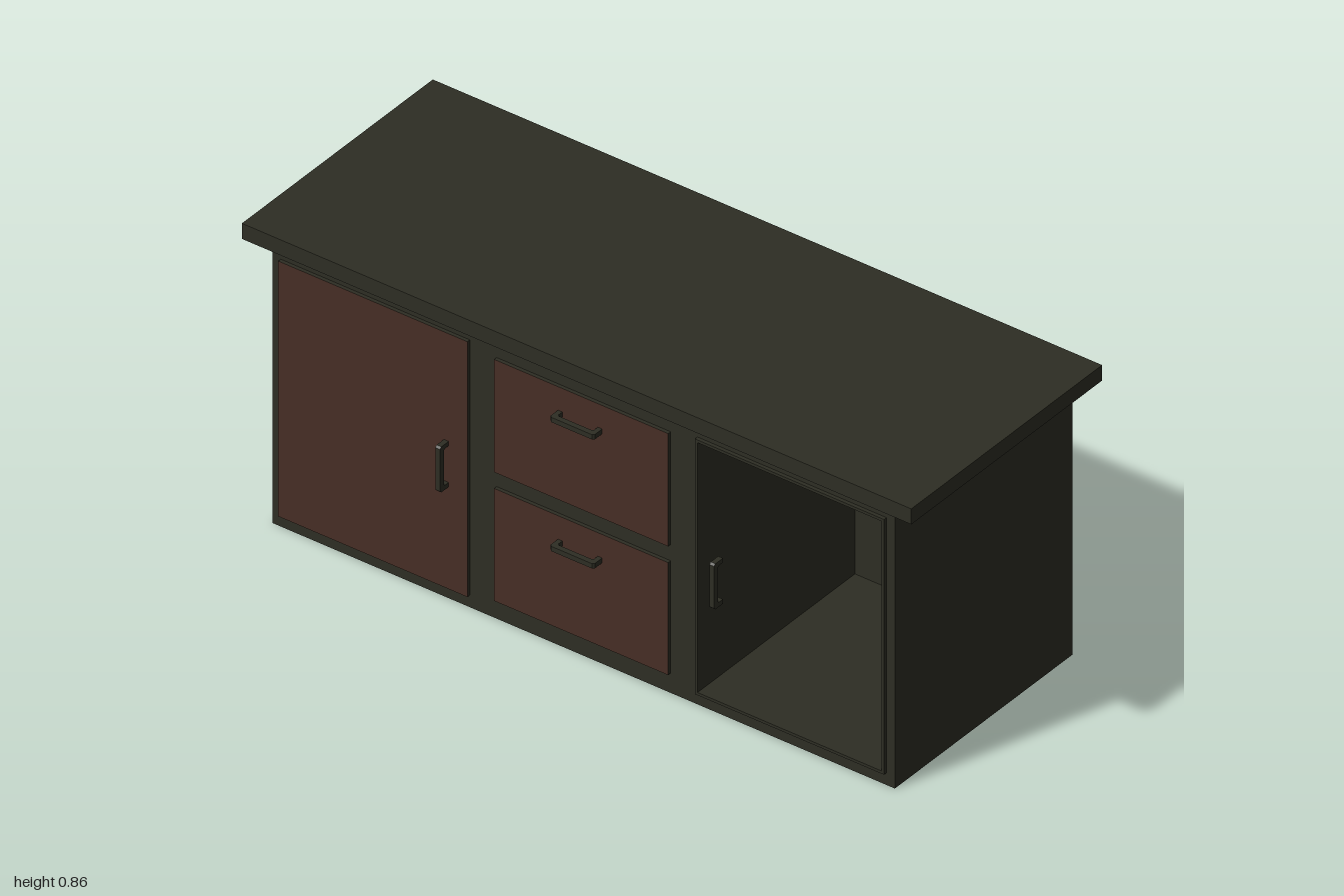
import * as THREE from 'three';

const FRONT = 0.345; // z of the cabinet face
const PLATE = 0.355; // z of the door and drawer faces

// Adds an axis-aligned rectangle to a shape or path
function rect(path, x0, x1, y0, y1) {
  path.moveTo(x0, y0);
  path.lineTo(x1, y0);
  path.lineTo(x1, y1);
  path.lineTo(x0, y1);
  path.closePath();
  return path;
}

export function createModel() {
  const darkWood = new THREE.MeshStandardMaterial({ color: 0x2e2e24 });
  darkWood.name = 'darkWood';
  const brownPanel = new THREE.MeshStandardMaterial({ color: 0x472e25 });
  brownPanel.name = 'brownPanel';

  const model = new THREE.Group();
  model.name = 'sideboard';

  const add = (name, geometry, material = darkWood) => {
    const mesh = new THREE.Mesh(geometry, material);
    mesh.name = name;
    model.add(mesh);
    return mesh;
  };

  const box = (name, x0, x1, y0, y1, z0, z1, material) => {
    const mesh = add(name, new THREE.BoxGeometry(x1 - x0, y1 - y0, z1 - z0), material);
    mesh.position.set((x0 + x1) / 2, (y0 + y1) / 2, (z0 + z1) / 2);
    return mesh;
  };

  // Rectangular block with a rectangular opening through it
  const frame = (name, outer, inner, z0, z1) => {
    const shape = rect(new THREE.Shape(), ...outer);
    shape.holes.push(rect(new THREE.Path(), ...inner));
    const geometry = new THREE.ExtrudeGeometry(shape, { depth: z1 - z0, bevelEnabled: false });
    add(name, geometry).position.z = z0;
  };

  // Cabinet with an open compartment, its back and the worktop
  const opening = [0.348, 0.897, 0.043, 0.767];
  frame('cabinetBody', [-0.93, 0.93, 0, 0.81], opening, -0.27, FRONT);
  box('cabinetBack', -0.93, 0.93, 0, 0.81, -0.36, -0.27);
  box('worktop', -1, 1, 0.81, 0.855, -0.385, 0.373);

  // Rim of the open door
  frame('openDoorRim', [0.34, 0.905, 0.035, 0.775], opening, FRONT, PLATE);

  // Panels: brown front face, dark edges
  const panelMaterials = [darkWood, darkWood, darkWood, darkWood, brownPanel, darkWood];
  const panel = (name, x0, x1, y0, y1) =>
    box(name, x0, x1, y0, y1, FRONT, PLATE, panelMaterials);
  panel('rightDoor', -0.905, -0.34, 0.035, 0.775);
  panel('upperDrawer', -0.26, 0.26, 0.43, 0.757);
  panel('lowerDrawer', -0.26, 0.26, 0.057, 0.383);

  // U-shaped handle: drawn along x with its legs towards the panel
  const grip = new THREE.Shape();
  [
    [-0.066, 0], [-0.066, 0.03], [-0.061, 0.035], [0.061, 0.035], [0.066, 0.03], [0.066, 0],
    [0.053, 0], [0.053, 0.016], [0.049, 0.02], [-0.049, 0.02], [-0.053, 0.016], [-0.053, 0],
  ].forEach(([x, y], i) => (i ? grip.lineTo(x, y) : grip.moveTo(x, y)));
  const handleGeometry = new THREE.ExtrudeGeometry(grip, { depth: 0.014, bevelEnabled: false });
  handleGeometry.translate(0, 0, -0.007);
  handleGeometry.rotateX(Math.PI / 2);

  const handle = (name, x, y, upright) => {
    const mesh = add(name, handleGeometry);
    mesh.position.set(x, y, PLATE - 0.001);
    if (upright) mesh.rotation.z = Math.PI / 2;
  };
  handle('rightDoorHandle', -0.403, 0.397, true);
  handle('leftDoorHandle', 0.416, 0.397, true);
  handle('upperDrawerHandle', -0.003, 0.682, false);
  handle('lowerDrawerHandle', -0.003, 0.308, false);

  return model;
}
